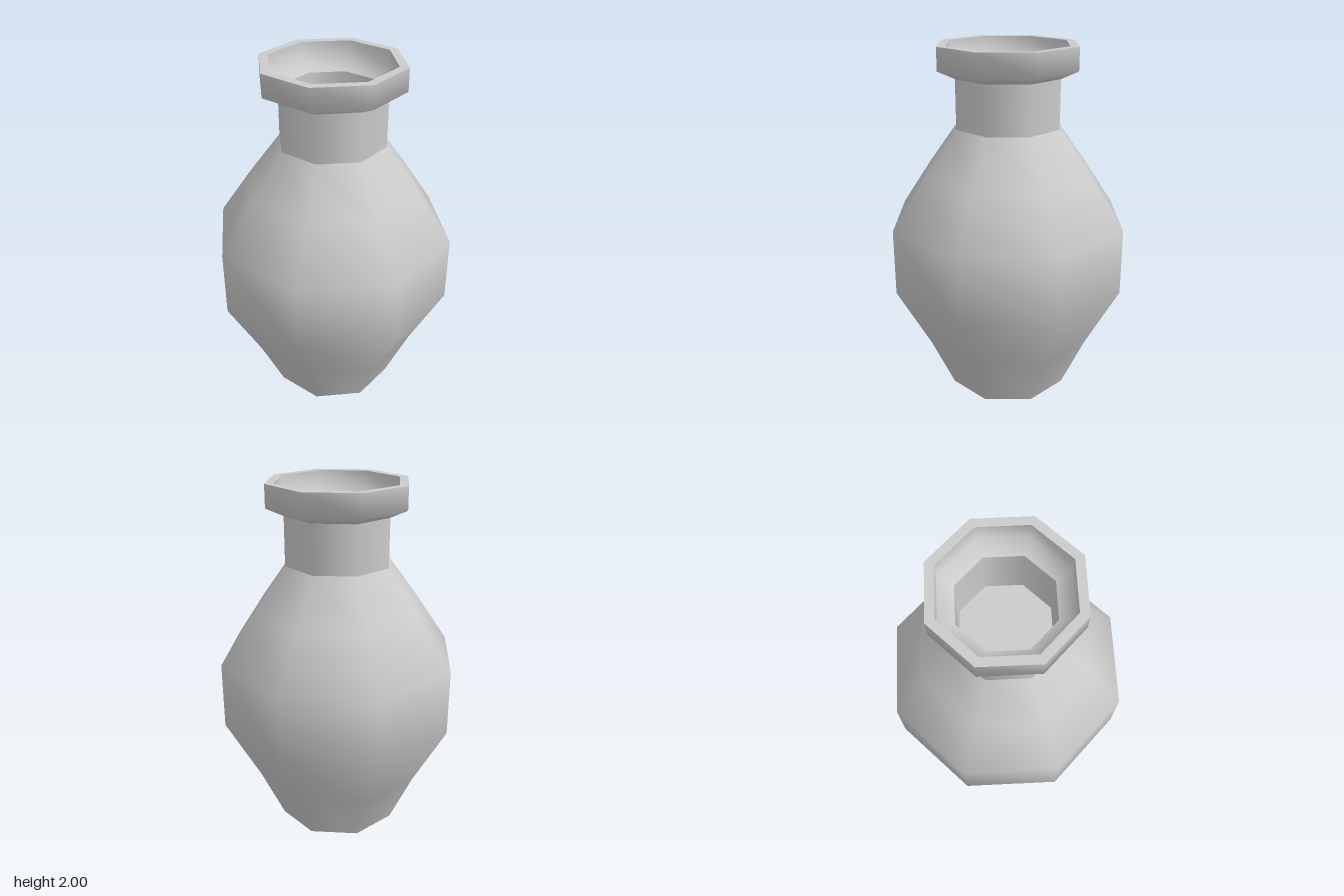
import * as THREE from 'three';

const SIDES = 8;

export function createModel() {
  const group = new THREE.Group();
  group.name = 'vase';
  const material = new THREE.MeshStandardMaterial({ color: 0xcccccc });

  // Each part is an eight-sided turning: smooth within, sharp where parts meet.
  const turn = (name, profile) => {
    const points = profile.map(([r, y]) => new THREE.Vector2(r, y));
    const mesh = new THREE.Mesh(new THREE.LatheGeometry(points, SIDES), material);
    mesh.name = name;
    group.add(mesh);
  };

  // Outside, from the foot up
  turn('base', [[0, 0], [0.35, 0]]);
  turn('body', [[0.35, 0], [0.485, 0.3], [0.677, 0.66], [0.677, 1.03], [0.485, 1.31], [0.3, 1.56]]);
  turn('neck', [[0.3, 1.56], [0.3, 1.83]]);
  turn('rim', [[0.3, 1.83], [0.397, 1.875], [0.397, 2]]);

  // Lip and inside, from the top down
  turn('lip', [[0.397, 2], [0.347, 2]]);
  turn('mouth', [[0.347, 2], [0.343, 1.9], [0.26, 1.855]]);
  turn('innerNeck', [[0.26, 1.855], [0.253, 1.56]]);
  turn('innerFloor', [[0.253, 1.56], [0, 1.56]]);

  return group;
}
